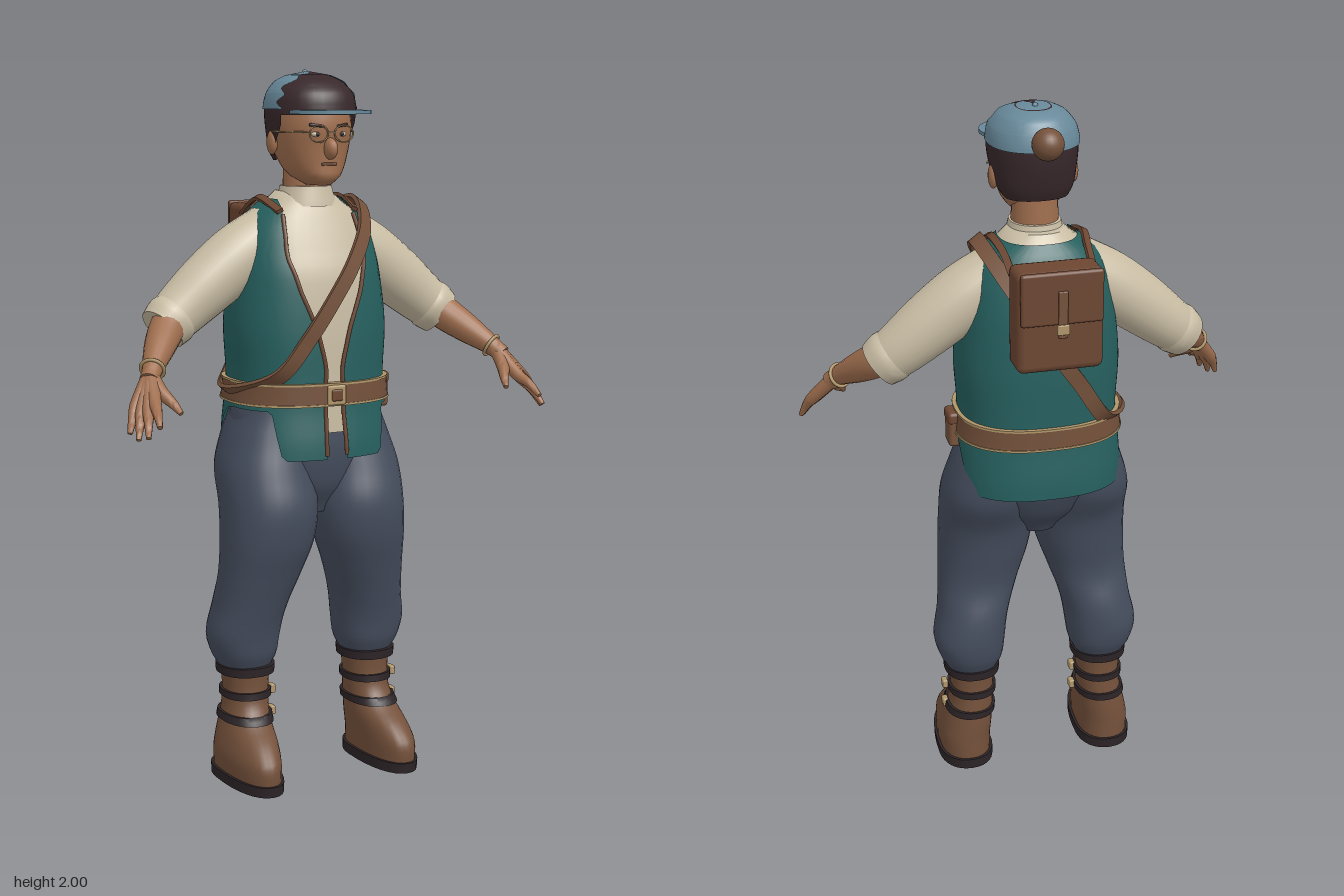
import * as THREE from 'three';
import { toCreasedNormals } from 'three/addons/utils/BufferGeometryUtils.js';
import { RoundedBoxGeometry } from 'three/addons/geometries/RoundedBoxGeometry.js';

const V = (x, y, z) => new THREE.Vector3(x, y, z);
const mat = (name, color, side = THREE.FrontSide) => {
  const m = new THREE.MeshStandardMaterial({ color, side });
  m.name = name;
  return m;
};
const lerp = THREE.MathUtils.lerp, step = THREE.MathUtils.smoothstep;

// Skin a list of rings (counter-clockwise about the direction of travel)
function loft(rings, { open = false, caps = true } = {}) {
  const n = rings[0].length, last = (rings.length - 1) * n, idx = [];
  const pts = rings.flat();
  for (let i = 0; i < rings.length - 1; i++)
    for (let j = 0; j < (open ? n - 1 : n); j++) {
      const k = (j + 1) % n, a = i * n + j, b = i * n + k, c = b + n, d = a + n;
      idx.push(a, b, c, a, c, d);
    }
  if (caps && !open) {
    const mid = r => r.reduce((s, p) => s.add(p), V(0, 0, 0)).divideScalar(n);
    const c0 = pts.length;
    pts.push(mid(rings[0]), mid(rings[rings.length - 1]));
    for (let j = 0; j < n; j++) {
      const k = (j + 1) % n;
      idx.push(c0, k, j, c0 + 1, last + j, last + k);
    }
  }
  const g = new THREE.BufferGeometry().setFromPoints(pts);
  g.setIndex(idx);
  return toCreasedNormals(g, 0.9);
}

// Cross-section keys: [y, centre x, centre z, half width, front depth, back depth]
function section(keys, y) {
  let i = 0;
  while (i < keys.length - 2 && y > keys[i + 1][0]) i++;
  const k = j => keys[Math.min(Math.max(j, 0), keys.length - 1)];
  const t = (y - k(i)[0]) / (k(i + 1)[0] - k(i)[0]), t2 = t * t, t3 = t2 * t;
  return k(i).map((b, c) => {
    const m0 = (k(i + 1)[c] - k(i - 1)[c]) / 2, m1 = (k(i + 2)[c] - b) / 2;
    return (2 * t3 - 3 * t2 + 1) * b + (t3 - 2 * t2 + t) * m0 + (3 * t2 - 2 * t3) * k(i + 1)[c] + (t3 - t2) * m1;
  });
}
const pw = (v, p) => Math.sign(v) * Math.abs(v) ** p;
function pt(keys, y, a, off = 0, p = 0.9) {
  const [, cx, cz, rx, rf, rb] = section(keys, y), c = Math.cos(a);
  return V(cx + (rx + off) * pw(Math.sin(a), p), y, cz + ((c > 0 ? rf : rb) + off) * pw(c, p));
}
// Upright body between two heights; start(y) leaves an opening at the front
function body(keys, y0, y1, rows, { n = 32, off = 0, p = 0.9, start = null } = {}) {
  const rings = [];
  for (let i = 0; i <= rows; i++) {
    const y = lerp(y0, y1, i / rows), s = start ? start(y) : 0;
    rings.push(Array.from({ length: start ? n + 1 : n }, (_, j) =>
      pt(keys, y, s + (2 * Math.PI - 2 * s) * j / n, off, p)));
  }
  return loft(rings, { open: !!start });
}
// Round limb of changing radius
function limb(points, radii, steps = 16, n = 16) {
  const curve = new THREE.CatmullRomCurve3(points), f = curve.computeFrenetFrames(steps);
  const rad = new THREE.CatmullRomCurve3(radii.map((r, i) => V(i, r, 0)));
  return loft(Array.from({ length: steps + 1 }, (_, i) => {
    const t = i / steps, c = curve.getPoint(t), r = rad.getPoint(t).y;
    return Array.from({ length: n }, (_, j) => {
      const a = j / n * 2 * Math.PI;
      return c.clone().addScaledVector(f.normals[i], r * Math.cos(a)).addScaledVector(f.binormals[i], r * Math.sin(a));
    });
  }));
}
// Flat strap that faces away from the chest centre
function strap(points, w, t, closed = false, steps = 48) {
  const curve = new THREE.CatmullRomCurve3(points, closed);
  const rings = Array.from({ length: steps + 1 }, (_, i) => {
    const c = curve.getPoint(i / steps), T = curve.getTangent(i / steps);
    const N = c.clone().sub(V(0, 1.4, -0.03)).projectOnPlane(T).normalize(), B = T.clone().cross(N);
    return [[1, -1], [1, 1], [-1, 1], [-1, -1]].map(([p, q]) =>
      c.clone().addScaledVector(N, p * t / 2).addScaledVector(B, q * w / 2));
  });
  return loft(rings, { caps: !closed });
}

const TORSO = [[0.9, 0, -0.02, 0.222, 0.18, 0.185], [1.05, 0, -0.025, 0.218, 0.18, 0.18], [1.15, 0, -0.025, 0.208, 0.178, 0.178],
  [1.3, 0, -0.025, 0.215, 0.175, 0.178], [1.45, 0, -0.03, 0.2, 0.165, 0.165], [1.55, 0, -0.035, 0.18, 0.135, 0.14],
  [1.61, 0, -0.035, 0.145, 0.11, 0.12], [1.67, 0, -0.03, 0.075, 0.075, 0.085]];
const TP = 0.82;
const HAIR = [[1.75, 0, -0.03, 0.085, 0.05, 0.06], [1.78, 0, -0.01, 0.105, 0.1, 0.095], [1.85, 0, 0.01, 0.118, 0.138, 0.13],
  [1.9, 0, 0.01, 0.12, 0.142, 0.132], [1.94, 0, 0.01, 0.111, 0.13, 0.122], [1.97, 0, 0.005, 0.087, 0.1, 0.1],
  [1.988, 0, 0, 0.052, 0.06, 0.06], [1.996, 0, 0, 0.004, 0.004, 0.004]];
const HEAD = [[1.69, 0, 0.06, 0.03, 0.05, 0.04], [1.71, 0, 0.04, 0.06, 0.09, 0.07], [1.74, 0, 0.02, 0.083, 0.11, 0.08],
  [1.79, 0, 0.01, 0.1, 0.123, 0.1], [1.85, 0, 0.01, 0.107, 0.13, 0.12], [1.92, 0, 0.01, 0.1, 0.12, 0.12]];
const PELVIS = [[0.77, 0, -0.01, 0.06, 0.09, 0.08], [0.85, 0, -0.01, 0.15, 0.13, 0.14], [0.95, 0, -0.02, 0.222, 0.155, 0.17],
  [1.05, 0, -0.02, 0.222, 0.15, 0.165], [1.12, 0, -0.02, 0.205, 0.15, 0.165]];
const LEG = [[0.31, 0.195, -0.02, 0.068, 0.072, 0.07], [0.36, 0.197, -0.02, 0.092, 0.095, 0.095], [0.42, 0.2, -0.015, 0.104, 0.1, 0.11],
  [0.5, 0.186, 0, 0.103, 0.105, 0.12], [0.6, 0.164, 0.02, 0.115, 0.115, 0.115], [0.7, 0.145, 0.03, 0.13, 0.135, 0.135],
  [0.8, 0.137, 0.02, 0.135, 0.152, 0.145], [0.9, 0.138, -0.01, 0.13, 0.155, 0.16], [1, 0.125, -0.02, 0.113, 0.135, 0.155],
  [1.08, 0.11, -0.02, 0.1, 0.12, 0.14]];
const BOOT = [[0, 0.215, 0, 0.072, 0.212, 0.098], [0.08, 0.215, 0, 0.074, 0.212, 0.098], [0.13, 0.208, -0.005, 0.071, 0.17, 0.093],
  [0.17, 0.202, -0.01, 0.066, 0.11, 0.086], [0.21, 0.197, -0.013, 0.063, 0.08, 0.08], [0.26, 0.195, -0.015, 0.063, 0.073, 0.075],
  [0.33, 0.195, -0.015, 0.068, 0.075, 0.077]];
// Half-gap between the vest fronts by height
const GAP = [[0.9, 0.03], [1.2, 0.025], [1.3, 0.05], [1.4, 0.09], [1.5, 0.118], [1.6, 0.11], [1.7, 0.09]];
function vestStart(y) {
  const i = Math.max(1, GAP.findIndex(g => g[0] >= y)), [a, b] = [GAP[i - 1], GAP[i]];
  const x = lerp(a[1], b[1], (y - a[0]) / (b[0] - a[0]));
  return Math.asin(Math.min(0.98, x / (section(TORSO, y)[3] + 0.012)) ** (1 / TP));
}
const vestPt = (y, a, off = 0.012) => pt(TORSO, y, a, off + 0.012 * step(1.1 - y, 0, 0.14) * Math.abs(Math.cos(a)), TP);
const onTorso = (x, y, back, off = 0.024) => {
  const a = Math.asin(pw(x / (section(TORSO, y)[3] + off), 1 / TP));
  return pt(TORSO, y, back ? Math.PI - a : a, off, TP);
};

export function createModel() {
  const root = new THREE.Group();
  root.name = 'traveller';
  const skin = mat('skin', 0xa06f4f), cream = mat('cream cloth', 0xc9bda4, THREE.DoubleSide), teal = mat('teal cloth', 0x26605f, THREE.DoubleSide),
    denim = mat('trouser blue', 0x454d5d), leather = mat('boot leather', 0x74513b), pack = mat('pack leather', 0x6c4632),
    dark = mat('dark rubber', 0x2c2427), hair = mat('dark hair', 0x38282b, THREE.DoubleSide),
    blue = mat('cap blue', 0x68899a, THREE.DoubleSide), gold = mat('brass', 0xb0966a);
  const add = (name, g, m, x = 0, y = 0, z = 0, parent = root) => {
    const mesh = new THREE.Mesh(g, m);
    mesh.name = name;
    mesh.position.set(x, y, z);
    parent.add(mesh);
    return mesh;
  };
  const box = (w, h, d, r = 0.006) => new RoundedBoxGeometry(w, h, d, 2, r);

  // Head, face and glasses
  add('neck', new THREE.CylinderGeometry(0.062, 0.066, 0.12, 24), skin, 0, 1.7, -0.015);
  add('head', body(HEAD, 1.69, 1.92, 20), skin);
  const nose = add('nose', new THREE.SphereGeometry(1, 16, 12), skin, 0, 1.79, 0.138);
  nose.scale.set(0.018, 0.03, 0.028);
  nose.rotation.x = -0.3;
  add('mouth', box(0.046, 0.008, 0.008, 0.003), pack, 0, 1.748, 0.13);
  add('glassesBridge', box(0.022, 0.004, 0.004, 0.001), gold, 0, 1.834, 0.147);
  for (const s of [-1, 1]) {
    add('ear', new THREE.SphereGeometry(1, 14, 10), skin, s * 0.11, 1.805, 0).scale.set(0.014, 0.034, 0.022);
    add('eye', new THREE.SphereGeometry(1, 14, 10), cream, s * 0.038, 1.829, 0.126).scale.set(0.015, 0.008, 0.01);
    add('pupil', new THREE.SphereGeometry(0.006, 10, 8), dark, s * 0.037, 1.829, 0.133);
    add('eyebrow', box(0.042, 0.009, 0.012, 0.004), hair, s * 0.038, 1.852, 0.129).rotation.set(0, s * 0.3, s * 0.12);
    add('glassesRim', new THREE.TorusGeometry(0.028, 0.0025, 8, 28), gold, s * 0.038, 1.83, 0.143).scale.y = 0.8;
    add('glassesTemple', box(0.004, 0.004, 0.13, 0.001), gold, s * 0.095, 1.835, 0.08).rotation.y = -s * 0.42;
  }

  // Hair and cap
  add('hairCrown', body(HAIR, 1.88, 1.996, 16), hair);
  add('hairBack', body(HAIR, 1.755, 1.89, 8, { start: y => 1.22 + 0.25 * step(1.87 - y, 0, 0.1) }), hair);
  add('capDome', body(HAIR, 1.895, 1.996, 20, { n: 40, off: 0.004, start: y =>
    Math.acos(Math.min(1, (0.045 + 0.012 * Math.sin(y * 160)) / section(HAIR, y)[4])) }), blue);
  add('capVisor', new THREE.CylinderGeometry(1, 1, 0.01, 40), blue, 0, 1.888, 0.137).scale.set(0.114, 1, 0.1);
  add('capButton', new THREE.SphereGeometry(0.008, 10, 8), blue, 0, 1.994, -0.02);
  add('pompom', new THREE.SphereGeometry(0.043, 24, 16), leather, 0, 1.925, -0.15);

  // Shirt and vest
  add('shirt', body(TORSO, 1.08, 1.67, 24, { p: TP }), cream);
  add('collar', body([[1.63, 0, -0.015, 0.085, 0.085, 0.085], [1.685, 0, -0.015, 0.07, 0.073, 0.073]], 1.63, 1.685, 3), cream);
  add('shirtTail', loft([1.01, 1.1].map(y => [-0.2, -0.1, 0, 0.1, 0.2].map(a => pt(TORSO, y, a, 0, TP))), { open: true }), cream);
  const hem = a => {
    const d = Math.min(a, 2 * Math.PI - a);
    return 0.94 + 0.135 * step(d, 0.5, 0.75) * (1 - step(d, 1.5, 2.2));
  };
  const vest = [];
  for (let i = 0; i <= 30; i++)
    vest.push(Array.from({ length: 81 }, (_, j) => {
      const u = j / 80, y = lerp(hem(u * 2 * Math.PI), 1.65, i / 30), s = vestStart(y);
      return vestPt(y, s + (2 * Math.PI - 2 * s) * u);
    }));
  add('vest', loft(vest, { open: true }), teal);
  for (const s of [-1, 1]) {
    const edge = Array.from({ length: 24 }, (_, i) => {
      const y = 0.95 + i * 0.03;
      return vestPt(Math.min(y, 1.64), s * vestStart(Math.min(y, 1.64)));
    });
    add('vestTrim', new THREE.TubeGeometry(new THREE.CatmullRomCurve3(edge.slice(0, 23)), 60, 0.006, 8), pack);
  }

  // Belt, buckle and pouch
  add('belt', body(TORSO, 1.09, 1.15, 2, { n: 48, off: 0.022, p: TP }), leather);
  for (const y of [1.088, 1.146]) add('beltEdge', body(TORSO, y, y + 0.006, 1, { n: 48, off: 0.024, p: TP }), gold);
  add('beltBuckle', box(0.056, 0.056, 0.012), gold, 0, 1.119, 0.178);
  add('buckleInset', box(0.036, 0.034, 0.012), pack, 0, 1.119, 0.181);
  add('beltPouch', box(0.034, 0.1, 0.064, 0.01), leather, 0.236, 1.095, -0.016);
  add('pouchFlap', box(0.038, 0.035, 0.068, 0.01), pack, 0.236, 1.13, -0.016);

  // Cross strap and backpack
  const front = [[0.135, 1.575], [0.07, 1.48], [0, 1.385], [-0.08, 1.275], [-0.155, 1.175]].map(([x, y]) => onTorso(x, y, false));
  const rear = [[-0.15, 1.16], [-0.07, 1.28], [0.02, 1.41], [0.1, 1.54]].map(([x, y]) => onTorso(x, y, true));
  add('crossStrap', strap([V(0.163, 1.642, -0.03), ...front, V(-0.236, 1.12, -0.03), ...rear], 0.042, 0.012, true, 90), leather);
  add('backpack', box(0.236, 0.28, 0.105, 0.02), pack, 0, 1.487, -0.237);
  add('backpackFlap', box(0.224, 0.145, 0.018, 0.008), pack, 0, 1.558, -0.295);
  add('flapStrap', box(0.026, 0.13, 0.008, 0.003), leather, 0, 1.515, -0.306);
  add('flapBuckle', box(0.034, 0.028, 0.01, 0.003), gold, 0, 1.475, -0.31);
  for (const s of [-1, 1])
    add('packLoop', strap([V(s * 0.11, 1.6, -0.2), V(s * 0.115, 1.635, -0.13), V(s * 0.125, 1.652, -0.05), V(s * 0.115, 1.62, 0.06)], 0.02, 0.01, false, 20), pack);

  for (const s of [-1, 1]) {
    const P = list => list.map(([x, y, z]) => V(s * x, y, z));
    const arm = new THREE.Group();
    arm.name = s > 0 ? 'leftArm' : 'rightArm';
    root.add(arm);
    const put = (name, g, m, x, y, z) => add(name, g, m, x, y, z, arm);
    // Sleeve with rolled cuff, forearm and bracelet
    put('sleeve', limb(P([[0.1, 1.555, -0.04], [0.2, 1.49, -0.037], [0.3, 1.415, -0.033], [0.38, 1.35, -0.027], [0.43, 1.31, -0.015]]),
      [0.083, 0.09, 0.085, 0.075, 0.066], 20, 24), cream);
    put('cuff', limb(P([[0.39, 1.343, -0.025], [0.41, 1.327, -0.02], [0.437, 1.304, -0.012]]), [0.07, 0.075, 0.068], 6, 24), cream);
    put('forearm', limb(P([[0.38, 1.36, -0.02], [0.43, 1.312, 0.01], [0.48, 1.265, 0.07], [0.53, 1.215, 0.14], [0.545, 1.195, 0.16]]),
      [0.05, 0.05, 0.042, 0.027, 0.027], 18), skin);
    put('bracelet', new THREE.TorusGeometry(0.032, 0.005, 8, 24), gold, s * 0.525, 1.22, 0.133)
      .quaternion.setFromUnitVectors(V(0, 0, 1), V(s * 0.5, -0.5, 0.7).normalize());
    // Hand: knuckle and tip of each finger
    for (const [k, t] of [[[0.558, 1.142, 0.232], [0.577, 1.095, 0.312]], [[0.574, 1.132, 0.224], [0.601, 1.066, 0.292]],
      [[0.587, 1.128, 0.21], [0.617, 1.058, 0.262]], [[0.597, 1.132, 0.192], [0.627, 1.07, 0.226]]])
      put('finger', limb(P([[0.535, 1.21, 0.145], k, k.map((v, i) => (v + t[i]) / 2 + (i === 1 ? 0.006 : 0)), t]), [0.022, 0.018, 0.013, 0.007], 12, 10), skin);
    put('thumb', limb(P([[0.535, 1.205, 0.15], [0.525, 1.165, 0.2], [0.508, 1.14, 0.235], [0.497, 1.118, 0.262]]), [0.02, 0.018, 0.013, 0.007], 12, 10), skin);

    // Trouser leg and boot
    const side = keys => keys.map(([y, cx, ...r]) => [y, s * cx, ...r]);
    const leg = side(LEG), boot = side(BOOT);
    add('trouserLeg', body(leg, 0.31, 1.08, 36), denim);
    add('boot', body(boot, 0.025, 0.325, 24), leather);
    add('sole', body(boot, 0, 0.03, 2, { off: 0.008 }), dark);
    add('bootTrim', body(boot, 0.305, 0.33, 2, { off: 0.014 }), dark);
    for (const y of [0.18, 0.245]) {
      add('bootBand', body(boot, y - 0.01, y + 0.01, 2, { off: 0.008 }), dark);
      add('bootBuckle', box(0.016, 0.026, 0.028, 0.004), gold, s * 0.197 + 0.076, y, 0.005);
    }
  }
  add('trouserSeat', body(PELVIS, 0.77, 1.12, 18), denim);
  return root;
}
